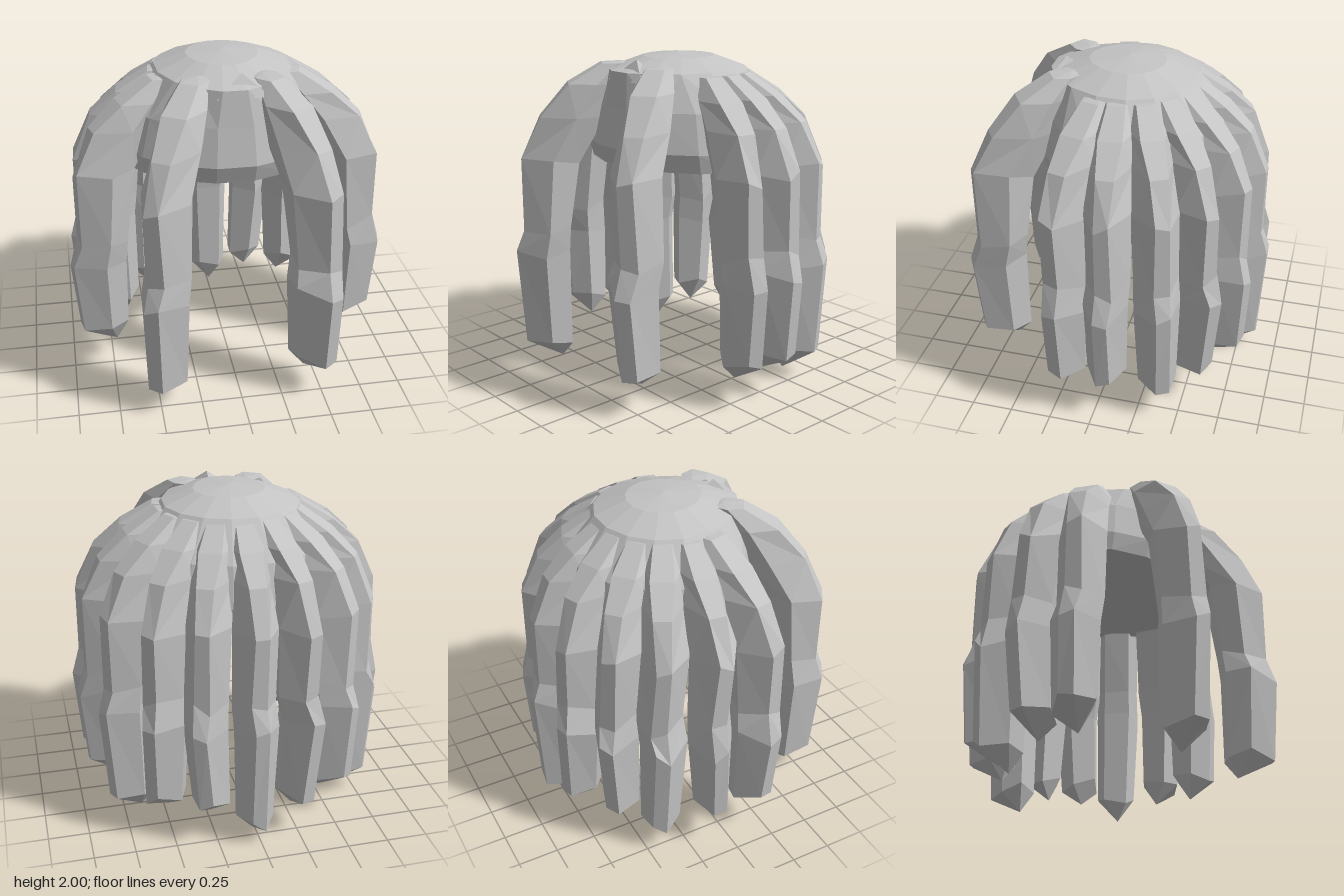
import * as THREE from 'three';

// Skin a stack of rings (top to bottom, counter-clockwise from above), closed by two end points
function loft(top, rings, bottom) {
  const pos = [];
  const tri = (...pts) => pts.forEach((p) => pos.push(...p));
  const n = rings[0].length, last = rings[rings.length - 1];
  for (let j = 0; j < n; j++) {
    const k = (j + 1) % n;
    tri(top, rings[0][j], rings[0][k]);
    for (let i = 0; i + 1 < rings.length; i++) {
      const a = rings[i], b = rings[i + 1];
      if ((i + j) % 2) { tri(a[j], b[j], b[k]); tri(a[j], b[k], a[k]); }
      else { tri(a[j], b[j], a[k]); tri(a[k], b[j], b[k]); }
    }
    tri(bottom, last[k], last[j]);
  }
  const g = new THREE.BufferGeometry();
  g.setAttribute('position', new THREE.Float32BufferAttribute(pos, 3));
  g.computeVertexNormals();
  return g;
}

// Small repeatable irregularity
function seeded(seed) {
  let s = seed;
  return (amount) => {
    s = (s * 16807) % 2147483647;
    return (s / 2147483647 - 0.5) * 2 * amount;
  };
}

// Crown: height, radius at sides and back, depth at the front
function crownGeometry() {
  const rows = [
    [1.98, 0.22, 0.24], [1.91, 0.41, 0.47], [1.7, 0.6, 0.5],
    [1.47, 0.67, 0.54], [1.36, 0.66, 0.5],
  ];
  const n = 16;
  const rings = rows.map(([y, r, front]) => Array.from({ length: n }, (_, j) => {
    const a = ((j + 0.5) / n) * Math.PI * 2;
    const c = Math.cos(a), ahead = Math.max(c, 0);
    return [Math.sin(a) * r * (1 - 0.12 * ahead), y, c * (c > 0 ? front : r)];
  }));
  return loft([0, 2, 0], rings, [0, 1.37, 0]);
}

// Lock: height, outer and inner distance as a share of the reach, half width, ridge share
const LOCK_ROWS = [
  [1.89, 0.46, 0.3, 0.075, 0.7],
  [1.77, 0.66, 0.36, 0.115, 0.6],
  [1.62, 0.83, 0.45, 0.13, 0.4],
  [1.36, 0.95, 0.61, 0.14, 0.3],
  [0.92, 0.95, 0.67, 0.135, 0.35],
  [0.76, 1.0, 0.68, 0.14, 0.3],
  [0.28, 0.96, 0.68, 0.12, 0.35],
];

function lockGeometry(x, z, tipY, width, rise, seed) {
  const rnd = seeded(seed);
  const reach = Math.hypot(x, z), ux = x / reach, uz = z / reach;
  const at = (r, t, y) => [ux * r + uz * t, y, uz * r - ux * t];
  const end = LOCK_ROWS.length - 1;
  const rings = LOCK_ROWS.map(([rowY, out, inn, w, ridge], i) => {
    const y = i === end ? tipY + 0.13 : rowY + (i < 2 ? rise : 0);
    const o = out * reach, n = inn * reach, h = w * width;
    const mid = n + (o - n) * 0.45, shift = i > 2 ? rnd(0.02) : 0;
    const lift = () => (i > 2 ? rnd(0.04) : 0);
    return [
      at(o, shift + h * ridge, y + lift()),
      at(mid, shift + h, y + lift()),
      at(n, shift + h * 0.6, y + lift()),
      at(n, shift - h * 0.6, y + lift()),
      at(mid, shift - h, y + lift()),
      at(o, shift - h * ridge, y + lift()),
    ];
  });
  return loft(at(reach * 0.34, 0, 1.9 + rise), rings, at(reach * 0.74, 0, tipY));
}

export function createModel() {
  const group = new THREE.Group();
  const hair = new THREE.MeshStandardMaterial({ color: 0xc4c4c4 });
  hair.name = 'light grey hair';
  hair.flatShading = true;
  const add = (name, geometry) => {
    const mesh = new THREE.Mesh(geometry, hair);
    mesh.name = name;
    group.add(mesh);
    return mesh;
  };

  add('crown', crownGeometry());

  // Hanging locks: outermost x and z, tip height, width factor, extra height at the root
  const locks = [
    ['frontLeftLock', 0.55, 0.87, 0.13, 1.1, 0.05],
    ['frontRightLock', -0.55, 0.87, 0.05, 1.1, 0.05],
    ['sideLock', 0.97, 0.25, 0.14, 1.05, 0],
    ['sideLock', 0.97, -0.08, 0.14, 1, 0],
    ['sideLock', 0.87, -0.42, 0.04, 1, 0],
    ['backLock', 0.65, -0.67, 0.14, 1, 0],
    ['backLock', 0.36, -0.83, 0.13, 0.97, 0],
    ['backLock', 0.02, -0.9, 0.0, 0.97, 0],
    ['backLock', -0.32, -0.86, 0.13, 0.97, 0],
    ['backLock', -0.62, -0.69, 0.14, 1, 0],
    ['sideLock', -0.83, -0.44, 0.02, 1, 0],
    ['sideLock', -0.96, -0.1, 0.14, 1, 0],
    ['sideLock', -0.97, 0.25, 0.14, 1.05, 0],
  ];
  locks.forEach(([name, x, z, tip, width, rise], i) =>
    add(name, lockGeometry(x, z, tip, width, rise, 7919 * (i + 3))));

  // Little raised tuft above the forehead
  const tuft = add('tuft', new THREE.ConeGeometry(0.18, 0.12, 3));
  tuft.rotation.y = Math.PI;
  tuft.position.set(0.05, 1.92, 0.37);

  return group;
}
